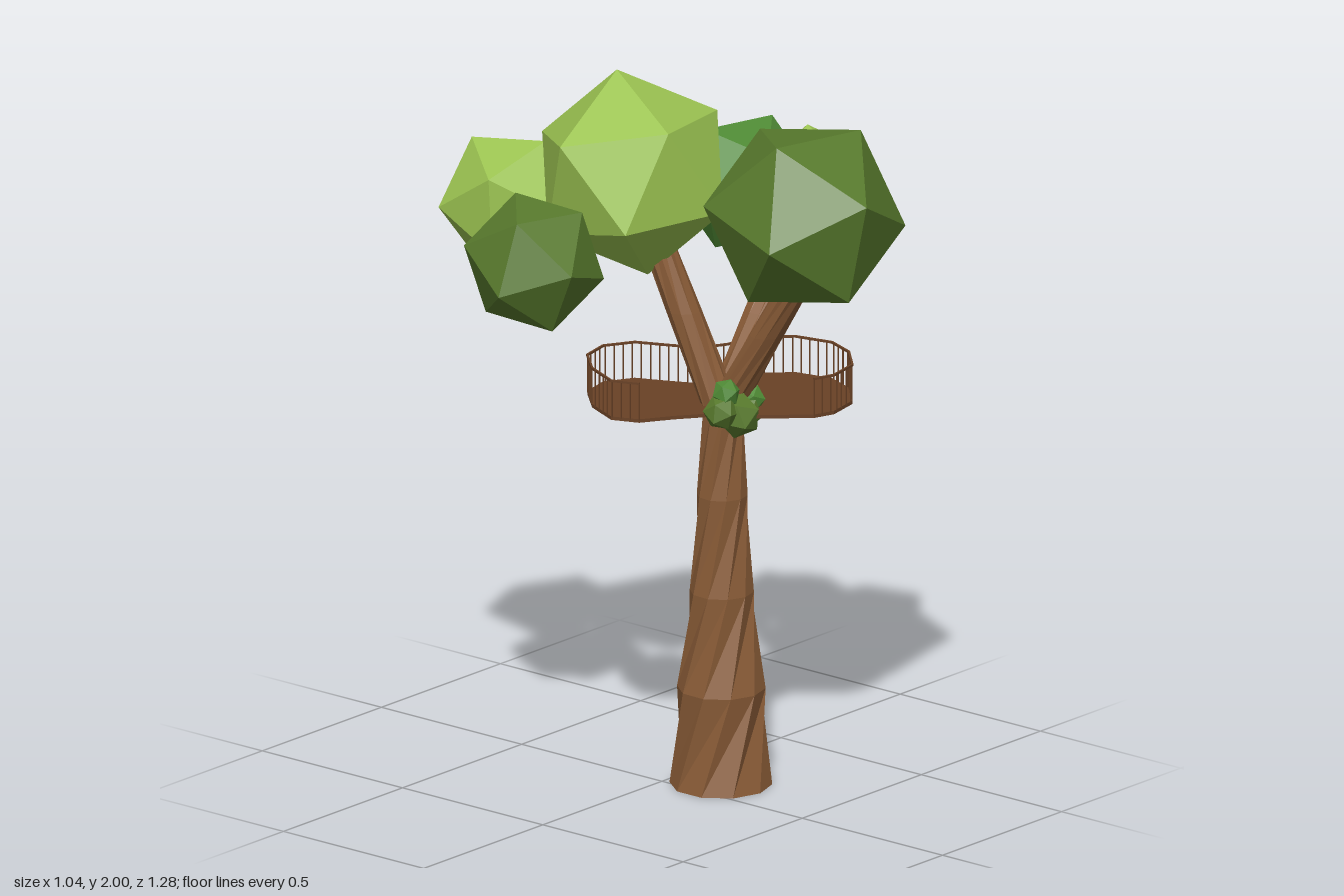
import * as THREE from 'three';

const V = (a) => new THREE.Vector3(...a);
const mat = (color) => new THREE.MeshStandardMaterial({ color, flatShading: true });
const bark = mat(0x8a5c37), wood = mat(0x6a4226);
const light = mat(0x9bc351), dark = mat(0x587a2d), mid = mat(0x4f8a35);

function add(parent, name, geometry, material) {
  const mesh = new THREE.Mesh(geometry, material);
  mesh.name = name;
  parent.add(mesh);
  return mesh;
}

// Icosahedron with one corner along apex and a neighbouring corner toward side
function clump(center, r, apex, side) {
  const g = new THREE.IcosahedronGeometry(r, 0);
  g.rotateZ(-Math.atan(2 / (1 + Math.sqrt(5))));
  const y = V(apex).normalize();
  const x = V(side).addScaledVector(y, -V(side).dot(y)).normalize();
  const m = new THREE.Matrix4().makeBasis(x, y, new THREE.Vector3().crossVectors(x, y));
  return g.applyMatrix4(m).translate(...center);
}

// Twisted faceted limb: horizontal rings between two points, one radius per ring
function limb(from, to, radii, twist) {
  const n = radii.length - 1;
  const g = new THREE.CylinderGeometry(1, 1, 1, 10, n);
  const p = g.attributes.position, a = V(from), b = V(to), c = new THREE.Vector3();
  for (let i = 0; i < p.count; i++) {
    const t = p.getY(i) + 0.5, r = radii[Math.round(t * n)];
    const angle = Math.atan2(p.getX(i), p.getZ(i)) + twist * t;
    const d = Math.hypot(p.getX(i), p.getZ(i)) * r;
    c.lerpVectors(a, b, t);
    p.setXYZ(i, c.x + Math.sin(angle) * d, c.y, c.z + Math.cos(angle) * d);
  }
  g.computeVertexNormals();
  return g;
}

export function createModel() {
  const model = new THREE.Group();
  model.name = 'treeWithPlatform';

  // Trunk and three branches
  add(model, 'trunk', limb([0.092, 0, 0.132], [0.1, 1.1, 0.132], [0.14, 0.121, 0.088, 0.07, 0.057], 2.4), bark);
  const fork = [0.097, 1.06, 0.135];
  [[0.02, 1.62, -0.08], [0.12, 1.56, 0.43], [0.395, 1.58, 0.16]].forEach((end) =>
    add(model, 'branch', limb(fork, end, [0.053, 0.049, 0.045], 0.5), bark));

  // Crown: center, radius, apex direction, neighbour direction, colour
  const crown = new THREE.Group();
  crown.name = 'crown';
  model.add(crown);
  [
    [[0.003, 1.718, -0.108], 0.286, [0.01, 0.97, -0.2], [-0.06, 0, -0.24], light],
    [[0.16, 1.655, 0.372], 0.28, [-0.045, 0.085, 0.25], [0.155, 0.2, 0], dark],
    [[-0.105, 1.594, -0.447], 0.203, [-0.04, 0.17, -0.11], [0.04, -0.025, -0.177], light],
    [[-0.337, 1.532, -0.17], 0.197, [-0.06, 0.01, 0.18], [-0.127, 0.15, 0.05], dark],
    [[0.32, 1.64, 0.02], 0.196, [0.18, 0, -0.03], [0, 0.18, 0.04], mid],
    [[0.37, 1.643, 0.23], 0.183, [0.03, 0.17, -0.05], [0.14, 0.03, 0.1], light],
    [[0.2, 1.51, 0.24], 0.1, [0, -1, 0.1], [1, 0, 0], dark],
  ].forEach(([c, r, apex, side, m]) => add(crown, 'leafClump', clump(c, r, apex, side), m));

  // Small bush on the trunk at deck height
  const bush = new THREE.Group();
  bush.name = 'bush';
  model.add(bush);
  [
    [[0.06, 1.078, 0.222], 0.064, dark], [[0.02, 1.15, 0.212], 0.04, mid],
    [[0.128, 1.108, 0.208], 0.042, mid], [[-0.002, 1.1, 0.212], 0.05, dark],
    [[0.1, 1.075, 0.21], 0.05, dark],
  ].forEach(([c, r, m], i) => add(bush, 'bushClump', clump(c, r, [0.3, 1, 0.2 * i], [1, 0, i - 2]), m));

  // Bean-shaped deck; the rail runs round it and leaves the front open
  const edge = [
    [0.18, 0.39], [0.24, 0.41], [0.34, 0.39], [0.42, 0.31], [0.455, 0.22], [0.43, 0.11], [0.36, 0.04],
    [0.26, 0.015], [0.19, -0.02], [0.15, -0.1], [0.11, -0.19], [0.03, -0.235], [-0.06, -0.215],
    [-0.14, -0.13], [-0.19, -0.02], [-0.16, 0.055],
  ];
  const front = [[-0.08, 0.105], [0, 0.165], [0.08, 0.28]];
  const outline = new THREE.Shape([...edge, ...front].map(([x, z]) => new THREE.Vector2(x, -z)));
  const deck = new THREE.ExtrudeGeometry(outline, { depth: 0.01, bevelEnabled: false });
  add(model, 'deck', deck.rotateX(-Math.PI / 2).translate(0, 1.076, 0), wood);

  const railing = new THREE.Group();
  railing.name = 'railing';
  model.add(railing);
  const path = new THREE.CurvePath();
  for (let i = 0; i + 1 < edge.length; i++) {
    const [a, b] = [edge[i], edge[i + 1]].map(([x, z]) => new THREE.Vector3(x, 1.188, z));
    path.add(new THREE.LineCurve3(a, b));
    const bar = new THREE.BoxGeometry(0.006, 0.006, a.distanceTo(b) + 0.003);
    const rail = add(railing, 'handrail', bar, wood);
    rail.position.lerpVectors(a, b, 0.5);
    rail.rotation.y = Math.atan2(b.x - a.x, b.z - a.z);
  }
  const post = new THREE.BoxGeometry(0.003, 0.105, 0.003);
  path.getSpacedPoints(56).forEach((p) =>
    add(railing, 'baluster', post, wood).position.set(p.x, 1.135, p.z));

  return model;
}
